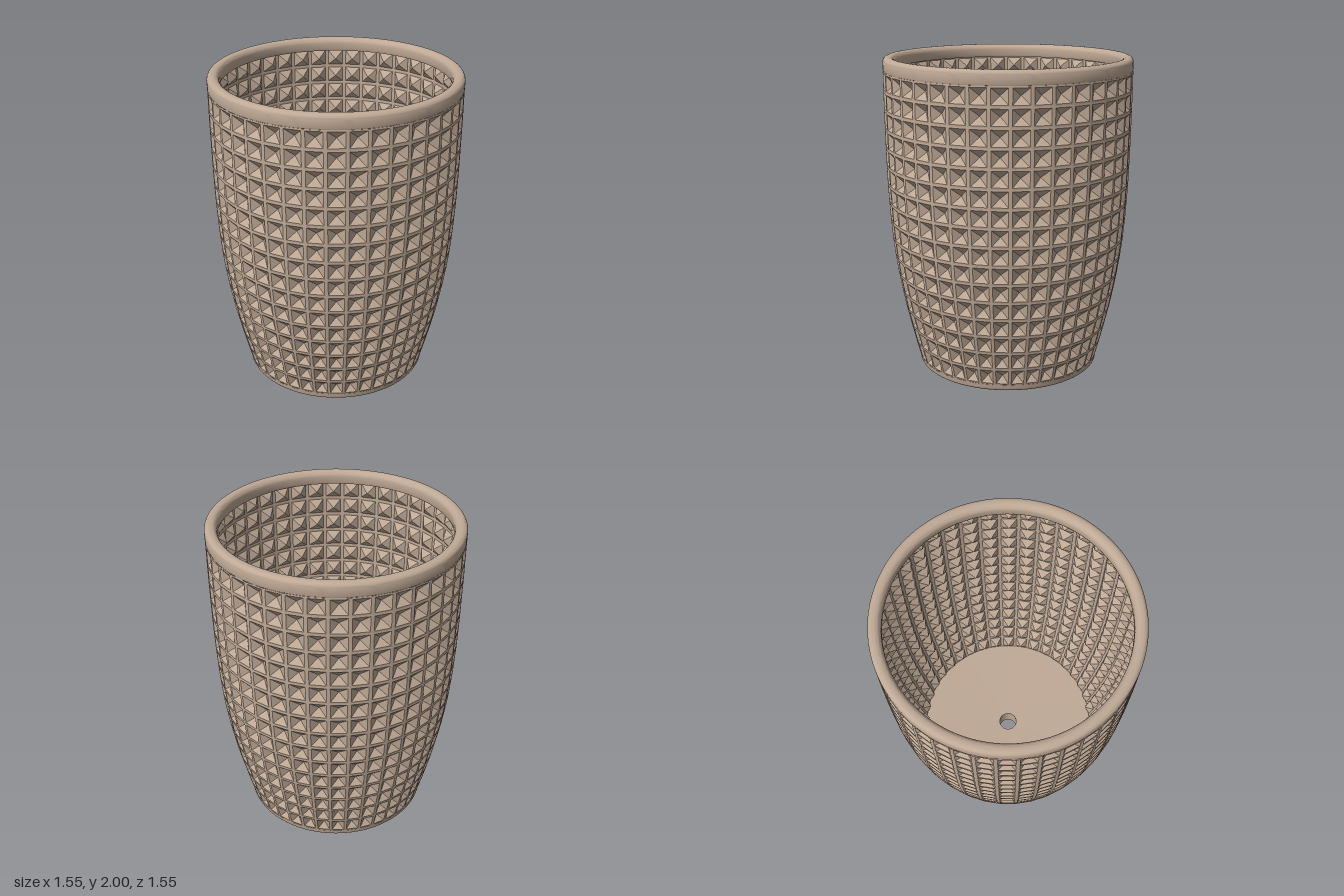
import * as THREE from 'three';
import { toCreasedNormals } from 'three/addons/utils/BufferGeometryUtils.js';

const COLUMNS = 40, ROWS = 16, BOTTOM = 0.045, TOP = 1.915;
const RIB = 0.09;         // half rib width as a fraction of a cell
const DEPTH = 0.04;       // how far each pyramid sinks towards the axis
const THICKNESS = 0.026;  // wall thickness

// outer profile, radius against height
const PROFILE = [[0, 0.575], [0.045, 0.59], [0.2, 0.63], [0.4, 0.676], [0.6, 0.713], [0.8, 0.741],
  [1.0, 0.757], [1.2, 0.767], [1.4, 0.772], [1.7, 0.775], [2, 0.775]];

function radiusAt(y) {
  let i = 0;
  while (i < PROFILE.length - 2 && PROFILE[i + 1][0] < y) i++;
  const [y0, r0] = PROFILE[i], [y1, r1] = PROFILE[i + 1];
  return r0 + (r1 - r0) * (y - y0) / (y1 - y0);
}

// point on the wall; u counts columns, v counts rows
function wallPoint(u, v, inset) {
  const a = u / COLUMNS * Math.PI * 2;
  const y = BOTTOM + (TOP - BOTTOM) * v / ROWS;
  const r = radiusAt(y) - inset;
  return [r * Math.sin(a), y, r * Math.cos(a)];
}

// grid of ribbed square cells, each with a pyramid pressed inwards
function latticeGeometry(inset, firstRow, flip) {
  const pos = [];
  const tri = (a, b, c) => pos.push(...a, ...(flip ? c : b), ...(flip ? b : c));
  const corners = [[0, 0], [1, 0], [1, 1], [0, 1]];
  for (let row = firstRow; row < ROWS; row++) {
    for (let col = 0; col < COLUMNS; col++) {
      const frame = corners.map(([u, v]) => wallPoint(col + u, row + v, inset));
      const edge = corners.map(([u, v]) =>
        wallPoint(col + RIB + u * (1 - 2 * RIB), row + RIB + v * (1 - 2 * RIB), inset));
      const apex = wallPoint(col + 0.5, row + 0.5, inset + DEPTH);
      for (let i = 0; i < 4; i++) {
        const j = (i + 1) % 4;
        tri(frame[i], frame[j], edge[j]);
        tri(frame[i], edge[j], edge[i]);
        tri(edge[i], edge[j], apex);
      }
    }
  }
  const g = new THREE.BufferGeometry();
  g.setAttribute('position', new THREE.Float32BufferAttribute(pos, 3));
  g.computeVertexNormals();
  return g;
}

function lathe(points) {
  const g = new THREE.LatheGeometry(points.map(([r, y]) => new THREE.Vector2(r, y)), 120);
  return toCreasedNormals(g, 0.6);
}

// quarter round from angle a0 to a1
function arc(cx, cy, r, a0, a1, n = 6) {
  return Array.from({ length: n + 1 }, (_, i) => {
    const a = a0 + (a1 - a0) * i / n;
    return [cx + r * Math.cos(a), cy + r * Math.sin(a)];
  });
}

export function createModel() {
  const group = new THREE.Group();
  const clay = new THREE.MeshStandardMaterial({ color: 0xbfa996 });
  clay.name = 'clay';
  const add = (name, geometry) => {
    const mesh = new THREE.Mesh(geometry, clay);
    mesh.name = name;
    group.add(mesh);
  };

  // wall: hollows outside, matching studs inside
  add('outerWall', latticeGeometry(0, 0, false));
  add('innerWall', latticeGeometry(THICKNESS, 1, true));

  // rounded rim
  const H = Math.PI / 2;
  add('rim', lathe([
    [0.772, TOP], [0.775, TOP + 0.01],
    ...arc(0.745, 1.97, 0.03, 0, H),
    ...arc(0.735, 1.965, 0.035, H, 2 * H),
    [0.70, 1.93], [0.705, TOP], [0.752, TOP],
  ]));

  // base with floor and drain hole
  const floorY = BOTTOM + (TOP - BOTTOM) / ROWS;
  add('base', lathe([
    [0.598, floorY], [0.06, floorY - 0.015], [0.06, 0], [0.56, 0],
    ...arc(0.56, 0.027, 0.027, -H, 0),
    [0.59, BOTTOM],
  ]));

  return group;
}
